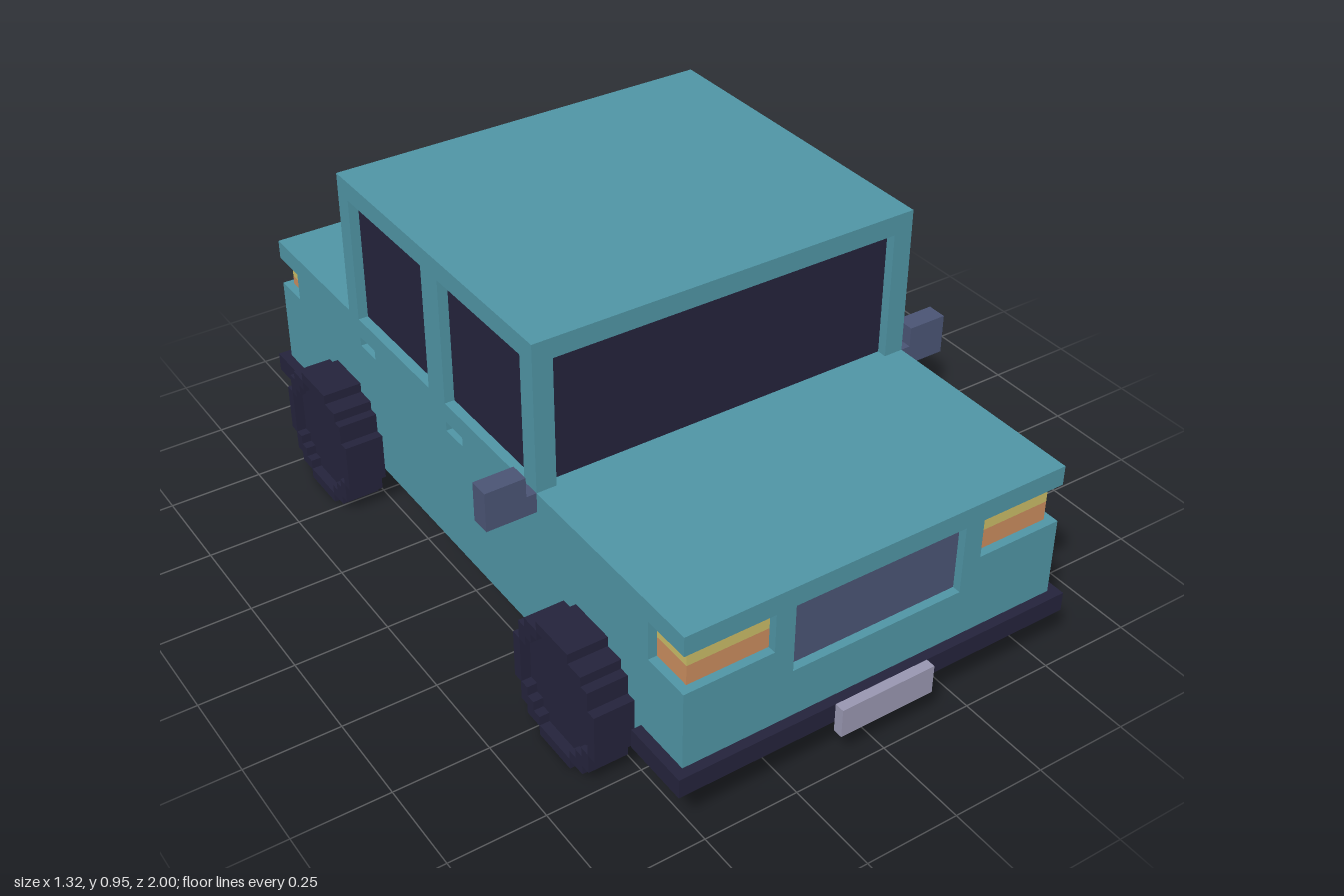
import * as THREE from 'three';

const U = 1 / 38; // one block unit

export function createModel() {
  const car = new THREE.Group();
  car.name = 'car';

  const mat = (name, color) => {
    const m = new THREE.MeshStandardMaterial({ color });
    m.name = name;
    return m;
  };
  const paint = mat('teal paint', 0x4f94a4);
  const dark = mat('dark glass and rubber', 0x24233b);
  const slate = mat('slate trim', 0x4a5474);
  const yellow = mat('yellow lamp', 0xc9bb67);
  const orange = mat('orange lamp', 0xc98c5e);
  const lilac = mat('pale plate', 0x9896b0);

  const add = (name, geometry, material) => {
    const mesh = new THREE.Mesh(geometry, material);
    mesh.name = name;
    car.add(mesh);
    return mesh;
  };
  // Box given by its limits in block units
  const box = (name, material, x0, x1, y0, y1, z0, z1) => {
    const g = new THREE.BoxGeometry((x1 - x0) * U, (y1 - y0) * U, (z1 - z0) * U);
    g.translate((x0 + x1) * U / 2, (y0 + y1) * U / 2, (z0 + z1) * U / 2);
    return add(name, g, material);
  };
  // Box on the left (side 1) or mirrored to the right (side -1)
  const sideBox = (name, material, side, x0, x1, ...rest) =>
    box(name, material, side > 0 ? x0 : -x1, side > 0 ? x1 : -x0, ...rest);

  const vec = (pts) => pts.map(([x, y]) => new THREE.Vector2(x * U, y * U));
  const rect = (a, b, c, d) => [[a, c], [b, c], [b, d], [a, d]];
  const panel = (outline, holes = [], depth = 1) => {
    const shape = new THREE.Shape(vec(outline));
    holes.forEach((h) => shape.holes.push(new THREE.Path(vec(h))));
    return new THREE.ExtrudeGeometry(shape, { depth: depth * U, bevelEnabled: false });
  };

  // Inner body, glasshouse and roof
  box('bodyCore', paint, -19, 19, 5, 21, -36, 35);
  box('windows', dark, -19, 19, 21, 34, -20, 13);
  box('roof', paint, -19, 19, 34, 36, -20, 13);

  // Side panels with window and handle openings and lamp notches; horizontal axis is -z
  const sideOutline = [
    [-36, 5], [37, 5], [37, 16], [33, 16], [33, 19], [37, 19], [37, 21], [21, 21], [21, 36],
    [-14, 36], [-14, 21], [-36, 21], [-36, 19], [-31, 19], [-31, 15], [-36, 15],
  ];
  const sideHoles = [
    rect(-12, 2, 21, 34), rect(5, 19, 21, 34),
    rect(-1, 2, 18, 19), rect(16, 19, 18, 19),
  ];
  for (const x of [19, -20]) {
    const g = panel(sideOutline, sideHoles).rotateY(Math.PI / 2);
    add('sidePanel', g, paint).position.x = x * U;
  }

  // Front and rear panels, notched at the ends for the lamps
  const endOutline = (inner, low) => [
    [-19, 5], [19, 5], [19, low], [inner, low], [inner, 19], [19, 19], [19, 21],
    [-19, 21], [-19, 19], [-inner, 19], [-inner, low], [-19, low],
  ];
  add('frontPanel', panel(endOutline(11, 15), [rect(-9, 9, 12, 19)]), paint).position.z = 35 * U;
  add('rearPanel', panel(endOutline(14, 16)), paint).position.z = -37 * U;
  box('grille', slate, -9, 9, 12, 19, 34, 35.15);

  // Windscreen frames
  const frame = [[-19, 21], [-18, 21], [-18, 34], [18, 34], [18, 21], [19, 21], [19, 36], [-19, 36]];
  add('windscreenFrame', panel(frame), paint).position.z = 13 * U;
  add('rearWindowFrame', panel(frame), paint).position.z = -21 * U;

  // Stepped round outline from one quadrant
  const stepped = (q, s = 1) => {
    const pts = [];
    for (let i = 0; i < 4; i++) {
      for (let [x, y] of q) {
        for (let k = 0; k < i; k++) [x, y] = [-y, x];
        pts.push([x * s, y * s]);
      }
    }
    return pts;
  };
  const tyreOuter = stepped([[6.5, 2.5], [5.5, 2.5], [5.5, 4.5], [4.5, 4.5], [4.5, 5.5], [2.5, 5.5], [2.5, 6.5]]);
  const tyreInner = stepped([[5.5, 2.5], [4.5, 2.5], [4.5, 3.5], [3.5, 3.5], [3.5, 4.5], [2.5, 4.5], [2.5, 5.5]], 0.98);
  const wheelDisc = panel(tyreOuter, [], 3).rotateY(Math.PI / 2);
  const wheelRing = panel(tyreOuter, [tyreInner], 1).rotateY(Math.PI / 2);

  for (const s of [1, -1]) {
    // Lamps, set one unit into the corners
    sideBox('headlampTop', yellow, s, 11, 19.15, 17, 19, 31, 35.15);
    sideBox('headlampBottom', orange, s, 11, 19.15, 15, 17, 31, 35.15);
    sideBox('tailLampTop', yellow, s, 14, 19.15, 17, 19, -36.15, -33);
    sideBox('tailLampBottom', orange, s, 14, 19.15, 16, 17, -36.15, -33);

    // Door handles and mirrors
    sideBox('frontHandle', slate, s, 18, 19.15, 18, 19, -2, 1);
    sideBox('rearHandle', slate, s, 18, 19.15, 18, 19, -19, -16);
    sideBox('mirrorArm', slate, s, 20, 21, 19, 21, 12, 14);
    sideBox('mirror', slate, s, 21, 25, 19, 23, 12, 14);

    // Bumper ends
    sideBox('frontBumperEnd', dark, s, 20, 21, 5, 7, 30, 36);
    sideBox('rearBumperEnd', dark, s, 20, 21, 5, 7, -37, -31);

    // Wheels with a recessed outer face
    for (const z of [22.5, -22.5]) {
      add('wheel', wheelDisc, dark).position.set((s > 0 ? 20 : -23) * U, 6.5 * U, z * U);
      add('wheelRim', wheelRing, dark).position.set((s > 0 ? 23 : -24) * U, 6.5 * U, z * U);
    }
  }

  // Bumpers and plate
  box('frontBumper', dark, -21, 21, 5, 7, 36, 37);
  box('rearBumper', dark, -21, 21, 5, 7, -38, -37);
  box('plate', lilac, -5, 5, 4, 7, 37, 38);

  return car;
}
